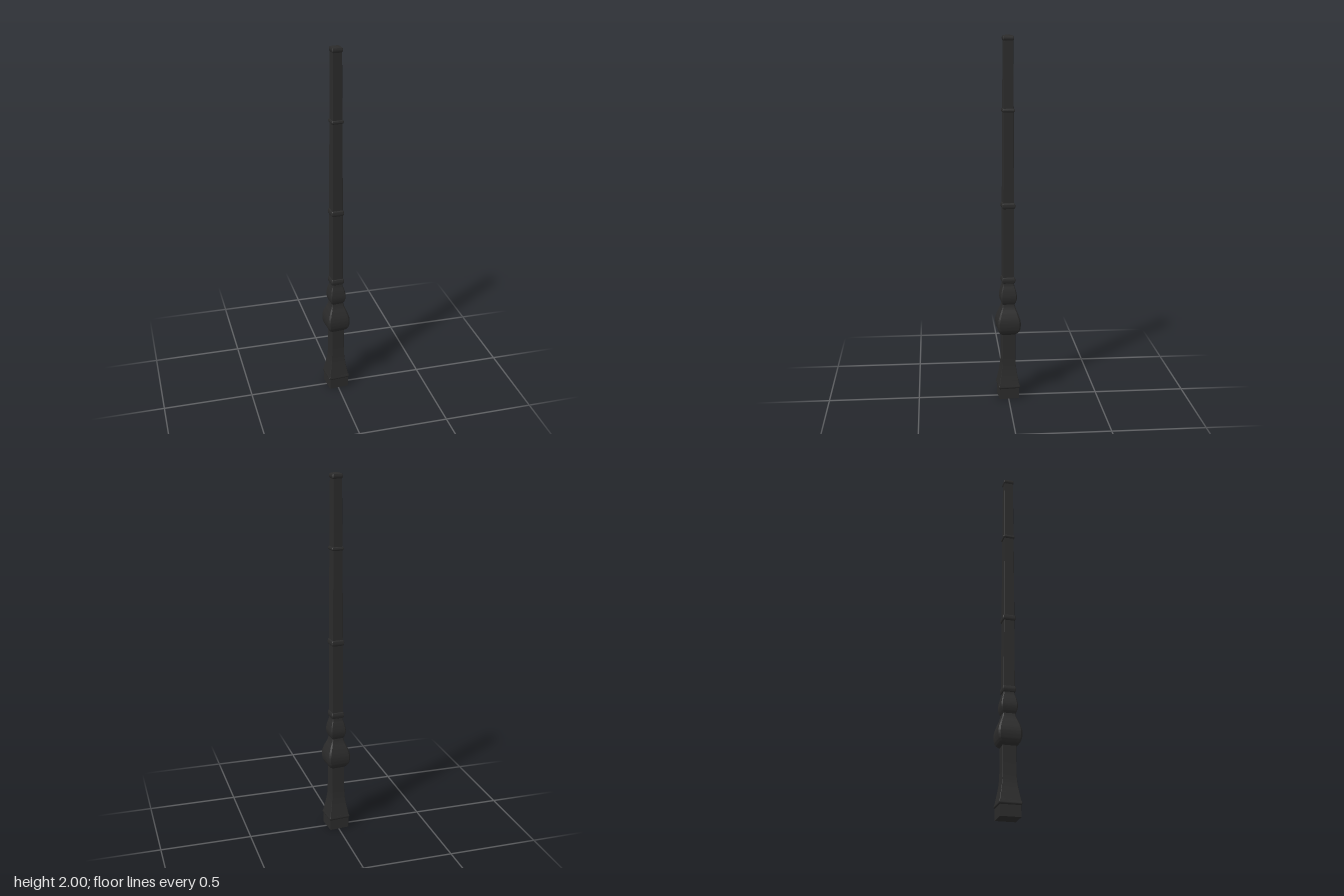
import * as THREE from 'three';
import { toCreasedNormals } from 'three/addons/utils/BufferGeometryUtils.js';

const iron = new THREE.MeshStandardMaterial({ color: 0x2b2b2b });

// Square section of half width h with corners cut by c
function section(h, c) {
  const k = h - c;
  return [[h, -k], [h, k], [k, h], [-k, h], [-h, k], [-h, -k], [-k, -h], [k, -h]];
}

// Closed square loft through [half width, height] points; smooth > 0 subdivides as a spline
function squareTurned(name, profile, chamfer, smooth = 0) {
  let pts = profile.map(([h, y]) => new THREE.Vector2(h, y));
  if (smooth) pts = new THREE.SplineCurve(pts).getPoints(smooth);
  const pos = [], idx = [], n = 8;
  for (const p of pts) {
    for (const [x, z] of section(p.x, p.x * chamfer)) pos.push(x, p.y, z);
  }
  for (let i = 0; i < pts.length - 1; i++) {
    for (let j = 0; j < n; j++) {
      const a = i * n + j, b = i * n + (j + 1) % n;
      idx.push(a, a + n, b + n, a, b + n, b);
    }
  }
  const top = (pts.length - 1) * n;
  for (let j = 1; j < n - 1; j++) {
    idx.push(0, j, j + 1, top, top + j + 1, top + j);
  }
  const geo = new THREE.BufferGeometry();
  geo.setAttribute('position', new THREE.Float32BufferAttribute(pos, 3));
  geo.setIndex(idx);
  const mesh = new THREE.Mesh(toCreasedNormals(geo, 0.6), iron);
  mesh.name = name;
  return mesh;
}

// Rounded collar around the shaft
function collar(name, y, inner, outer, height) {
  const profile = [];
  for (let i = 0; i <= 8; i++) {
    const t = (i / 8) * Math.PI;
    profile.push([inner + (outer - inner) * Math.sin(t), y - Math.cos(t) * height / 2]);
  }
  return squareTurned(name, profile, 0.1);
}

export function createModel() {
  const post = new THREE.Group();
  post.name = 'post';

  // Plinth and flared foot
  post.add(squareTurned('plinth', [[0.055, 0], [0.055, 0.062]], 0.02));
  post.add(squareTurned('plinthMoulding',
    [[0.055, 0.06], [0.059, 0.065], [0.06, 0.072], [0.057, 0.08]], 0.04));
  post.add(squareTurned('flaredFoot',
    [[0.057, 0.078], [0.051, 0.11], [0.043, 0.155], [0.038, 0.2], [0.036, 0.27], [0.036, 0.38]], 0.04, 24));

  // Large vase bulb, then the smaller bulb above it
  post.add(squareTurned('vaseBulb',
    [[0.036, 0.372], [0.049, 0.382], [0.059, 0.4], [0.0635, 0.43], [0.061, 0.46],
      [0.05, 0.495], [0.038, 0.525], [0.033, 0.547]], 0.15, 32));
  post.add(squareTurned('upperBulb',
    [[0.033, 0.547], [0.039, 0.56], [0.0435, 0.58], [0.0435, 0.6], [0.038, 0.63],
      [0.031, 0.655], [0.029, 0.675]], 0.13, 28));

  // Tapering shaft with collars
  post.add(squareTurned('shaft', [[0.0305, 0.67], [0.0295, 1.1], [0.027, 1.61], [0.0245, 1.985]], 0.06));
  post.add(collar('lowerCollar', 0.684, 0.0305, 0.036, 0.034));
  post.add(collar('middleCollar', 1.1, 0.0295, 0.0355, 0.032));
  post.add(collar('upperCollar', 1.612, 0.027, 0.0325, 0.02));

  // Top cap, slightly domed
  post.add(squareTurned('cap',
    [[0.0245, 1.972], [0.028, 1.977], [0.0285, 1.99], [0.026, 1.996], [0.017, 2.0]], 0.1));

  // The whole post is turned slightly about its axis
  post.rotation.y = 0.085;
  const model = new THREE.Group();
  model.name = 'model';
  model.add(post);
  return model;
}
